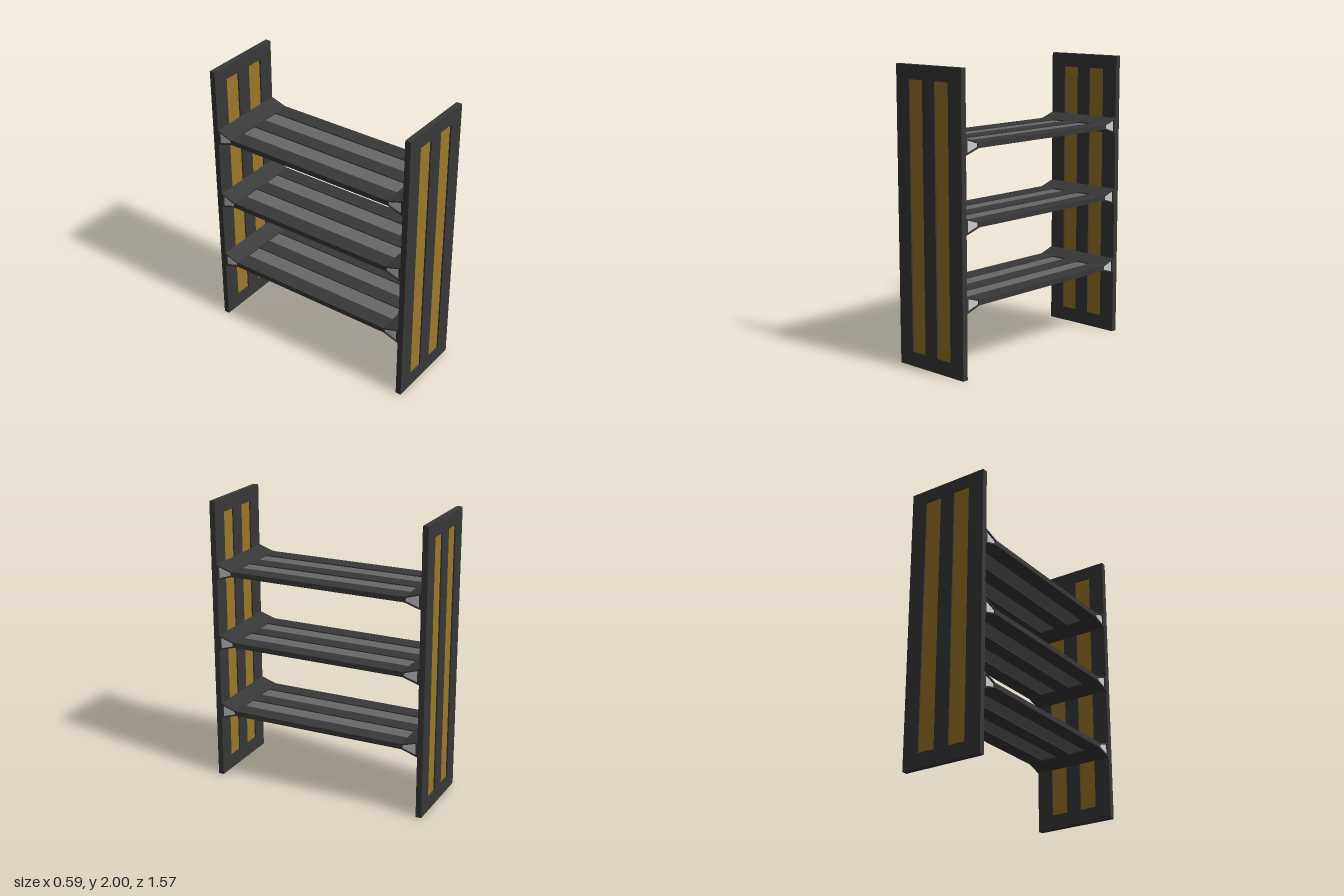
import * as THREE from 'three';

const W = 0.295;                       // half width of the whole rack
const SLOTS = [[-0.178, -0.055], [0.055, 0.178]];
const mat = (color) => new THREE.MeshStandardMaterial({ color, flatShading: true });

function polygon(points, Type = THREE.Shape) {
  return new Type(points.map(([x, y]) => new THREE.Vector2(x, y)));
}

const rect = (x0, x1, y0, y1) => [[x0, y0], [x1, y0], [x1, y1], [x0, y1]];

// Extrusion centred on its own depth
function slab(shape, depth) {
  const g = new THREE.ExtrudeGeometry(shape, { depth, bevelEnabled: false });
  return g.translate(0, 0, -depth / 2);
}

function add(parent, name, geometry, material) {
  const mesh = new THREE.Mesh(geometry, material);
  mesh.name = name;
  parent.add(mesh);
  return mesh;
}

// Flat frame with two long slots, each closed by a thinner recessed inlay
function slottedPlate(name, y0, y1, s0, s1, depth, inset, frameMat, inlayMat) {
  const plate = new THREE.Group();
  plate.name = name;
  const shape = polygon(rect(-W, W, y0, y1));
  SLOTS.forEach(([a, b]) => shape.holes.push(polygon(rect(a, b, s0, s1), THREE.Path)));
  add(plate, 'frame', slab(shape, depth), frameMat);
  SLOTS.forEach(([a, b]) => {
    const inlay = new THREE.BoxGeometry(b - a, s1 - s0, depth - 2 * inset);
    add(plate, 'inlay', inlay, inlayMat).position.set((a + b) / 2, (s0 + s1) / 2, 0);
  });
  return plate;
}

export function createModel() {
  const rack = new THREE.Group();
  rack.name = 'shelfRack';
  const dark = mat(0x383838);
  const gold = mat(0x9c7829);
  const grey = mat(0x686868);
  const light = mat(0xcccccc);

  // Upright end panels
  for (const [name, side] of [['frontPanel', 1], ['backPanel', -1]]) {
    const panel = slottedPlate(name, 0, 2, 0.1, 1.905, 0.04, 0.01, dark, gold);
    panel.position.z = side * 0.765;
    rack.add(panel);
  }

  // Flared shelf end: hollow wedge profile with a recessed plug
  const wedge = polygon([[0.63, -0.018], [0.746, -0.055], [0.746, 0.055], [0.63, 0.018]]);
  const hollow = [[0.638, -0.011], [0.732, -0.041], [0.732, 0.041], [0.638, 0.011]];
  wedge.holes.push(polygon(hollow, THREE.Path));
  const wedgeGeometry = slab(wedge, 2 * W);
  const plugGeometry = slab(polygon(hollow), 2 * W - 0.02);

  // Three shelves
  [0.493, 1.003, 1.51].forEach((y) => {
    const shelf = new THREE.Group();
    shelf.name = 'shelf';
    shelf.position.y = y;
    const board = slottedPlate('shelfBoard', -0.63, 0.63, -0.625, 0.625, 0.036, 0.008, dark, grey);
    board.rotation.x = -Math.PI / 2;
    shelf.add(board);
    for (const side of [1, -1]) {
      const end = new THREE.Group();
      end.name = side > 0 ? 'frontShelfEnd' : 'backShelfEnd';
      end.rotation.y = -side * Math.PI / 2;
      add(end, 'flare', wedgeGeometry, dark);
      add(end, 'plug', plugGeometry, light);
      shelf.add(end);
    }
    rack.add(shelf);
  });
  return rack;
}
